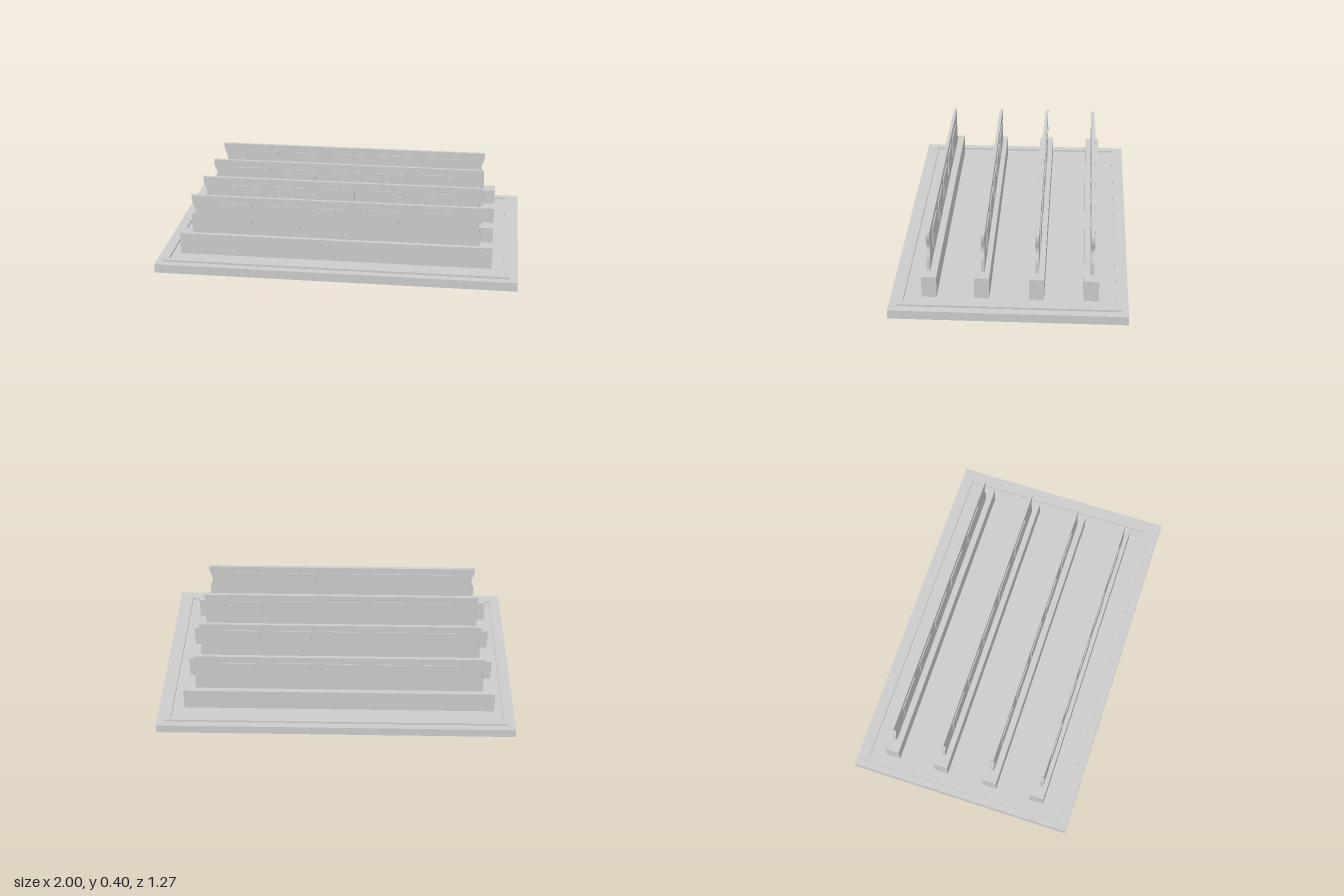
import * as THREE from 'three';

const material = new THREE.MeshStandardMaterial({ color: 0xcccccc, flatShading: true });

function add(parent, name, geometry, x = 0, y = 0, z = 0) {
  const mesh = new THREE.Mesh(geometry, material);
  mesh.name = name;
  mesh.position.set(x, y, z);
  parent.add(mesh);
  return mesh;
}

function rectangle(PathType, x0, x1, y0, y1) {
  return new PathType([[x0, y0], [x1, y0], [x1, y1], [x0, y1]].map(p => new THREE.Vector2(...p)));
}

// Upright plate whose two ends have a shallow, smooth waist
function bladeGeometry(thickness) {
  const left = -0.818, right = 0.787, y0 = 0.172, y1 = 0.395;
  const low = 0.235, high = 0.375, steps = 12, depth = 0.018;
  const side = [];
  for (let i = 0; i <= steps; i++) {
    const t = i / steps;
    side.push([low + (high - low) * t, depth * Math.sin(Math.PI * t) ** 2]);
  }
  const points = [
    [left, y0], [right, y0],
    ...side.map(([y, d]) => [right - d, y]),
    [right, y1], [left, y1],
    ...side.slice().reverse().map(([y, d]) => [left + d, y]),
  ].map(p => new THREE.Vector2(...p));
  const geometry = new THREE.ExtrudeGeometry(new THREE.Shape(points), { depth: thickness, bevelEnabled: false });
  return geometry.translate(0, 0, -thickness / 2);
}

export function createModel() {
  const model = new THREE.Group();
  model.name = 'slottedRack';

  // Base slab and its thin raised border
  add(model, 'base', new THREE.BoxGeometry(2, 0.05, 1.27), 0, 0.025, 0);
  const border = rectangle(THREE.Shape, -0.962, 0.954, -0.592, 0.598);
  border.holes.push(rectangle(THREE.Path, -0.934, 0.922, -0.562, 0.568));
  const borderGeometry = new THREE.ExtrudeGeometry(border, { depth: 0.011, bevelEnabled: false });
  add(model, 'raisedBorder', borderGeometry.rotateX(-Math.PI / 2), 0, 0.05, 0);

  // Four rails, each holding an upright blade with five panels on both faces
  const rail = new THREE.BoxGeometry(1.744, 0.122, 0.081);
  const blade = bladeGeometry(0.018);
  const panel = new THREE.BoxGeometry(0.193, 0.126, 0.028);
  const panelCentres = [-0.578, -0.305, -0.037, 0.243, 0.543];
  const rows = [[0.428, 0.435], [0.146, 0.143], [-0.146, -0.146], [-0.437, -0.44]];
  rows.forEach(([railZ, bladeZ], i) => {
    const row = new THREE.Group();
    row.name = `row${i + 1}`;
    model.add(row);
    add(row, 'rail', rail, -0.016, 0.111, railZ);
    add(row, 'blade', blade, 0, 0, bladeZ);
    for (const x of panelCentres) add(row, 'panel', panel, x, 0.291, bladeZ);
  });

  return model;
}
